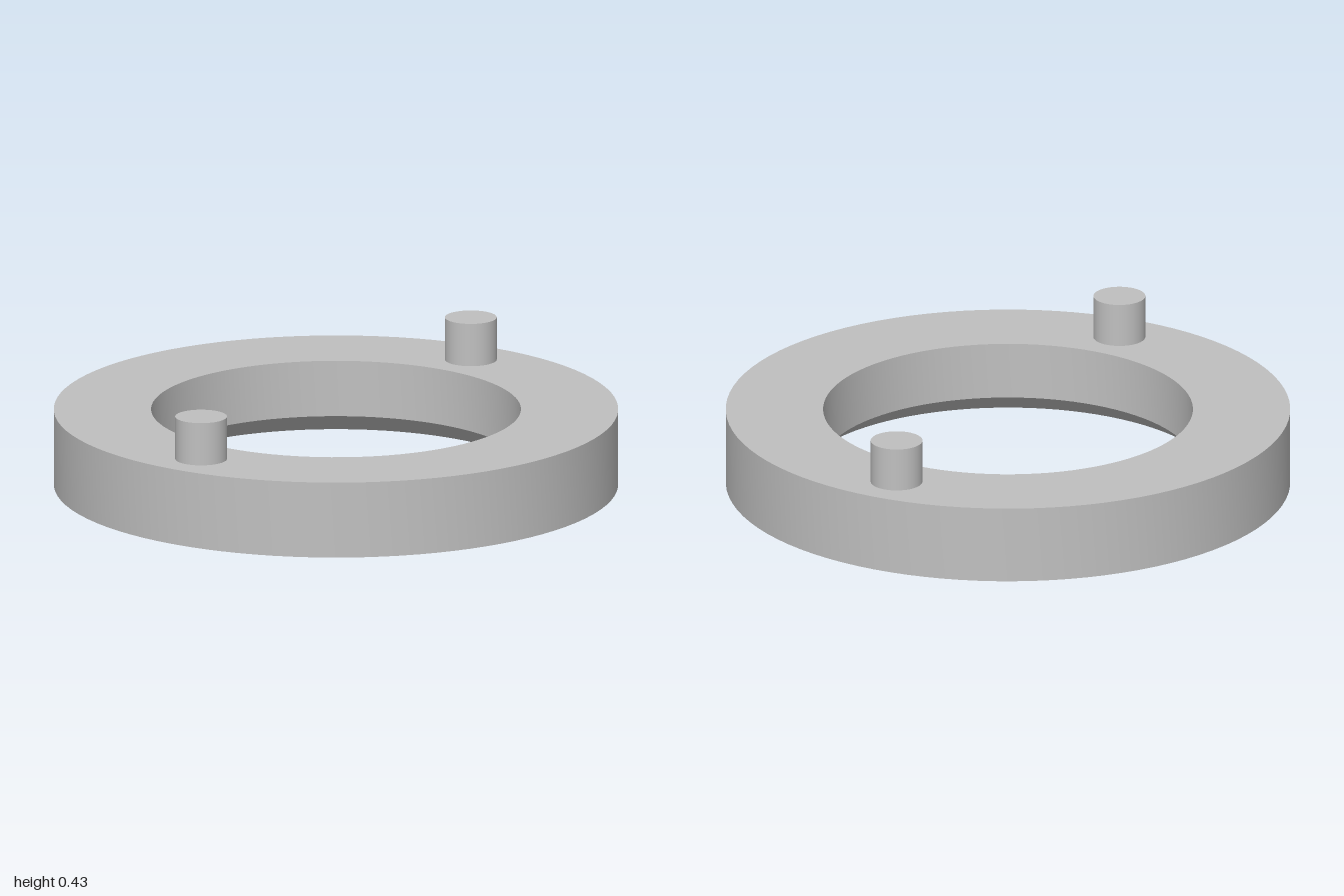
import * as THREE from 'three';
import { toCreasedNormals } from 'three/addons/utils/BufferGeometryUtils.js';

export function createModel() {
  const group = new THREE.Group();
  group.name = 'pinnedRing';

  const grey = new THREE.MeshStandardMaterial({ color: 0xc0c0c0 });
  grey.name = 'light grey';

  // Ring: closed cross-section with a chamfer on the lower inner edge
  const profile = [
    [0.745, 0], [1, 0], [1, 0.275], [0.655, 0.275], [0.655, 0.072], [0.745, 0],
  ].map(([r, y]) => new THREE.Vector2(r, y));
  const ring = new THREE.Mesh(
    toCreasedNormals(new THREE.LatheGeometry(profile, 96), 0.5), grey);
  ring.name = 'ring';
  group.add(ring);

  // Two upright pins, slightly sunk into the top face
  const pinBottom = 0.25, pinTop = 0.43;
  const pinGeometry = new THREE.CylinderGeometry(0.092, 0.092, pinTop - pinBottom, 48);
  for (const side of [-1, 1]) {
    const pin = new THREE.Mesh(pinGeometry, grey);
    pin.name = side > 0 ? 'leftPin' : 'rightPin';
    pin.position.set(side * 0.826, (pinTop + pinBottom) / 2, 0);
    group.add(pin);
  }
  return group;
}
